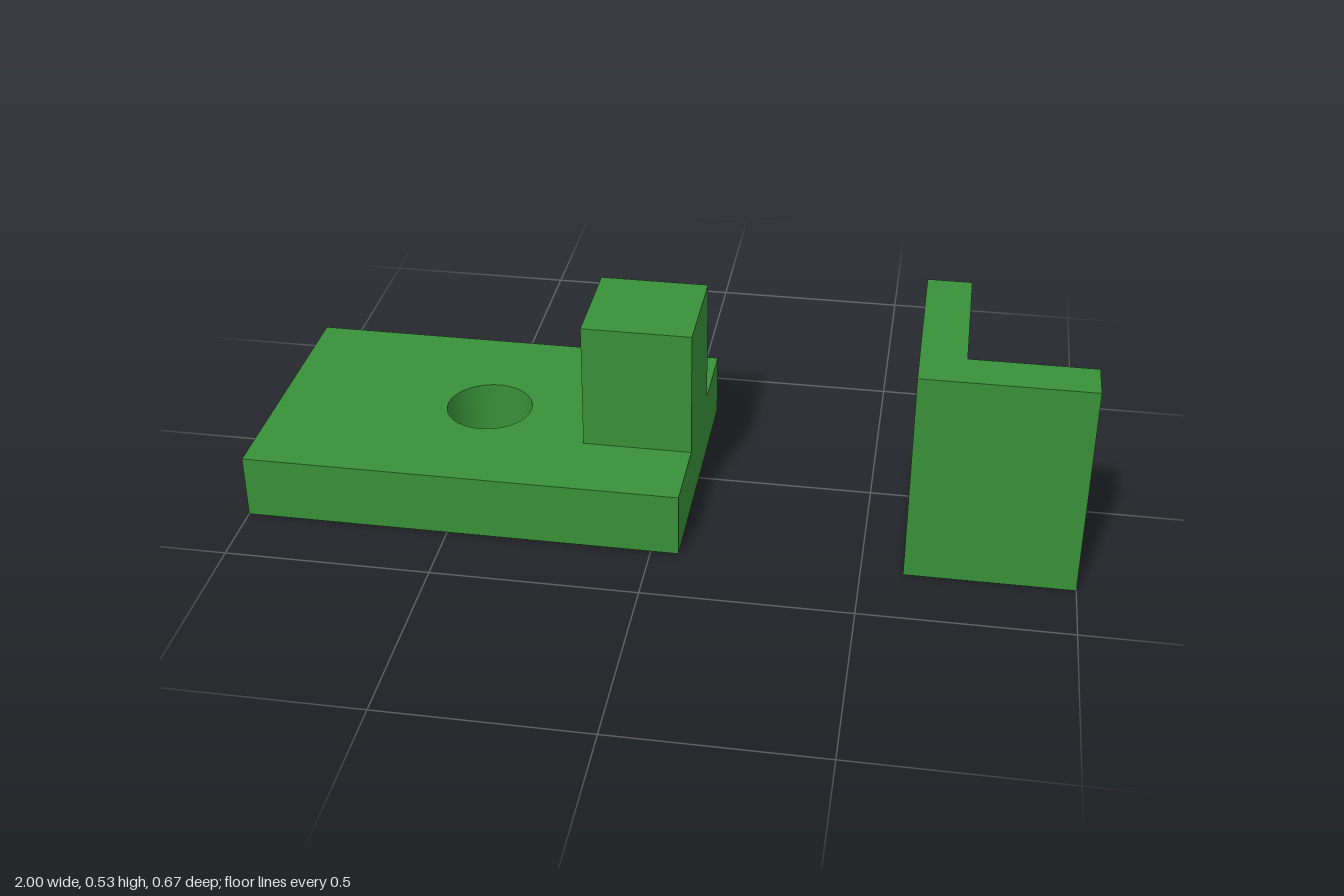
import * as THREE from 'three';
import { toCreasedNormals } from 'three/addons/utils/BufferGeometryUtils.js';

const material = new THREE.MeshStandardMaterial({ color: 0x389038 });

// Builds a shape from [x, z] corners as seen from above
function planShape(corners) {
  return new THREE.Shape(corners.map(([x, z]) => new THREE.Vector2(x, -z)));
}

// Raises a plan shape straight up from the ground
function raise(name, shape, height) {
  const geometry = new THREE.ExtrudeGeometry(shape, {
    depth: height, bevelEnabled: false, curveSegments: 32,
  });
  geometry.rotateX(-Math.PI / 2);
  const mesh = new THREE.Mesh(toCreasedNormals(geometry, Math.PI / 6), material);
  mesh.name = name;
  return mesh;
}

export function createModel() {
  const group = new THREE.Group();
  group.name = 'blockAndBracket';

  // Base plate with a round through-hole
  const plateRight = 0.067, plateHeight = 0.16;
  const plate = planShape([[-1, 0.333], [plateRight, 0.333], [plateRight, -0.333], [-1, -0.333]]);
  plate.holes.push(new THREE.Path().absarc(-0.467, 0, 0.107, 0, Math.PI * 2, true));
  group.add(raise('basePlate', plate, plateHeight));

  // Square post standing at the end of the plate
  const post = new THREE.Mesh(new THREE.BoxGeometry(0.267, 0.32, 0.267), material);
  post.name = 'post';
  post.position.set(plateRight - 0.1335, plateHeight + 0.16, 0);
  group.add(post);

  // Separate upright L-shaped bracket
  const bracket = planShape([
    [0.6, 0.333], [1, 0.333], [1, 0.227], [0.707, 0.227], [0.707, -0.147], [0.6, -0.147],
  ]);
  group.add(raise('angleBracket', bracket, 0.533));

  return group;
}
